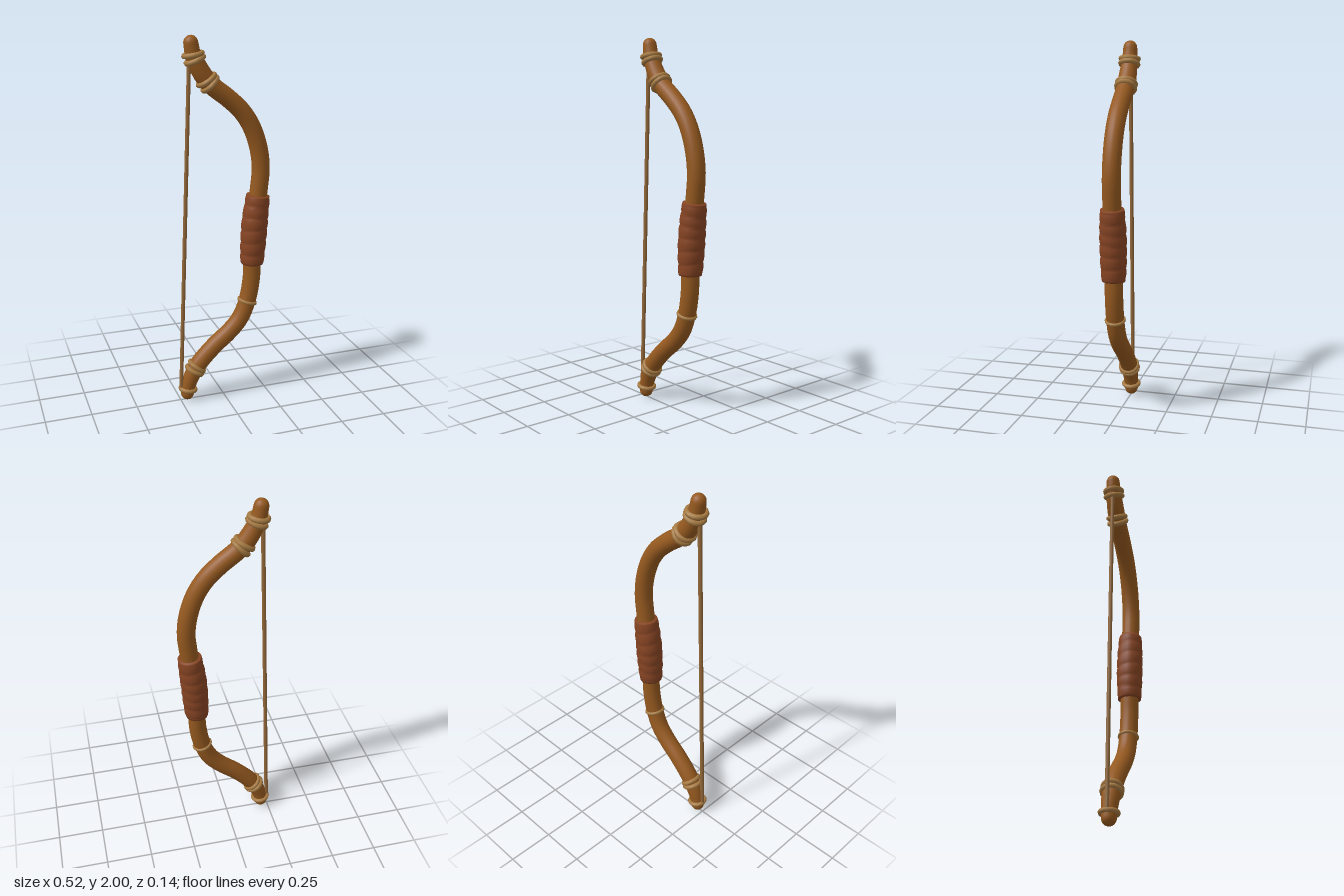
import * as THREE from 'three';

const mat = (name, color) => new THREE.MeshStandardMaterial({ name, color });

// Bow centreline, bottom tip to top tip
const path = new THREE.CatmullRomCurve3([
  [-0.215, 0.005], [-0.2, 0.1], [-0.152, 0.2], [-0.055, 0.305], [0.04, 0.385], [0.1, 0.455],
  [0.14, 0.55], [0.164, 0.68], [0.168, 0.8], [0.18, 1.0], [0.203, 1.2], [0.211, 1.3],
  [0.197, 1.41], [0.157, 1.525], [0.1, 1.612], [0.03, 1.678], [-0.08, 1.768],
  [-0.152, 1.89], [-0.174, 2.0],
].map(([x, y]) => new THREE.Vector3(x, y, 0)));
path.arcLengthDivisions = 600;

// Path parameter at a given height
function uAt(y) {
  let lo = 0, hi = 1;
  for (let i = 0; i < 30; i++) {
    const mid = (lo + hi) / 2;
    if (path.getPointAt(mid).y < y) lo = mid; else hi = mid;
  }
  return lo;
}

// Sweep round sections along the path; radius(u, angle) sets the thickness
function sweep(stations, sides, radius) {
  const pos = [], index = [];
  stations.forEach((u, i) => {
    const p = path.getPointAt(u), t = path.getTangentAt(u);
    for (let j = 0; j < sides; j++) {
      const a = (j / sides) * Math.PI * 2, r = radius(u, a, i);
      pos.push(p.x - t.y * Math.cos(a) * r, p.y + t.x * Math.cos(a) * r, Math.sin(a) * r);
      if (i < stations.length - 1) {
        const k = (j + 1) % sides, b = i * sides, c = b + sides;
        index.push(b + j, b + k, c + k, b + j, c + k, c + j);
      }
    }
  });
  const g = new THREE.BufferGeometry();
  g.setAttribute('position', new THREE.Float32BufferAttribute(pos, 3));
  g.setIndex(index);
  g.computeVertexNormals();
  return g;
}

export function createModel() {
  const bow = new THREE.Group();
  bow.name = 'bow';
  const wood = mat('wood', 0x95591f);
  const leather = mat('leather', 0x864423);
  const cord = mat('cord', 0xa67a42);
  const string = mat('string', 0x94693a);
  const add = (name, geometry, material) => {
    const m = new THREE.Mesh(geometry, material);
    m.name = name;
    bow.add(m);
    return m;
  };

  // Curved stave with rounded, slightly thinner tips
  const length = path.getLength(), stations = [];
  for (let i = 0; i <= 6; i++) stations.push(0.018 * (1 - Math.cos((i / 6) * Math.PI / 2)));
  for (let i = 1; i < 64; i++) stations.push(0.018 + (0.964 * i) / 64);
  for (let i = 6; i >= 0; i--) stations.push(1 - 0.018 * (1 - Math.cos((i / 6) * Math.PI / 2)));
  add('stave', sweep(stations, 20, (u) => {
    const d = Math.min(u, 1 - u) * length;
    const r = 0.037 + 0.011 * THREE.MathUtils.smoothstep(d, 0.02, 0.22);
    return d < r ? Math.sqrt(Math.max(0, r * r - (r - d) ** 2)) : r;
  }), wood);

  // Leather grip with slanted, uneven wraps and closed ends
  const u0 = uAt(0.772), u1 = uAt(1.155), n = 42, grip = [u0];
  for (let i = 0; i <= n; i++) grip.push(u0 + ((u1 - u0) * i) / n);
  grip.push(u1);
  add('grip', sweep(grip, 16, (u, a, i) => {
    if (i === 0 || i === grip.length - 1) return 0.04;
    const s = (u - u0) / (u1 - u0);
    const wrap = Math.abs(Math.sin(Math.PI * 6 * s + 0.5 * Math.sin(a + 5 * s)));
    return 0.059 + 0.008 * Math.sin(Math.PI * s) + 0.005 * Math.sqrt(wrap);
  }), leather);

  // Cord bindings: height, ring radius, cord thickness, offsets along the stave
  [
    [0.068, 0.043, 0.012, [0]],
    [0.187, 0.047, 0.013, [-0.014, 0.012]],
    [0.552, 0.047, 0.010, [0]],
    [1.768, 0.048, 0.014, [-0.015, 0.013]],
    [1.893, 0.046, 0.014, [-0.015, 0.013]],
  ].forEach(([y, r, tube, offsets]) => offsets.forEach((o, i) => {
    const u = uAt(y) + o / length;
    const ring = add('binding', new THREE.TorusGeometry(r, tube, 8, 14), cord);
    ring.position.copy(path.getPointAt(u));
    const dir = path.getTangentAt(u);
    if (i) dir.x += 0.1;
    ring.quaternion.setFromUnitVectors(new THREE.Vector3(0, 0, 1), dir.normalize());
  }));

  // Bowstring between the end bindings
  const a = new THREE.Vector3(-0.247, 0.065, 0), b = new THREE.Vector3(-0.178, 1.885, 0);
  const line = add('bowstring', new THREE.CylinderGeometry(0.011, 0.011, a.distanceTo(b), 8), string);
  line.position.copy(a).lerp(b, 0.5);
  line.quaternion.setFromUnitVectors(new THREE.Vector3(0, 1, 0), b.clone().sub(a).normalize());

  return bow;
}
